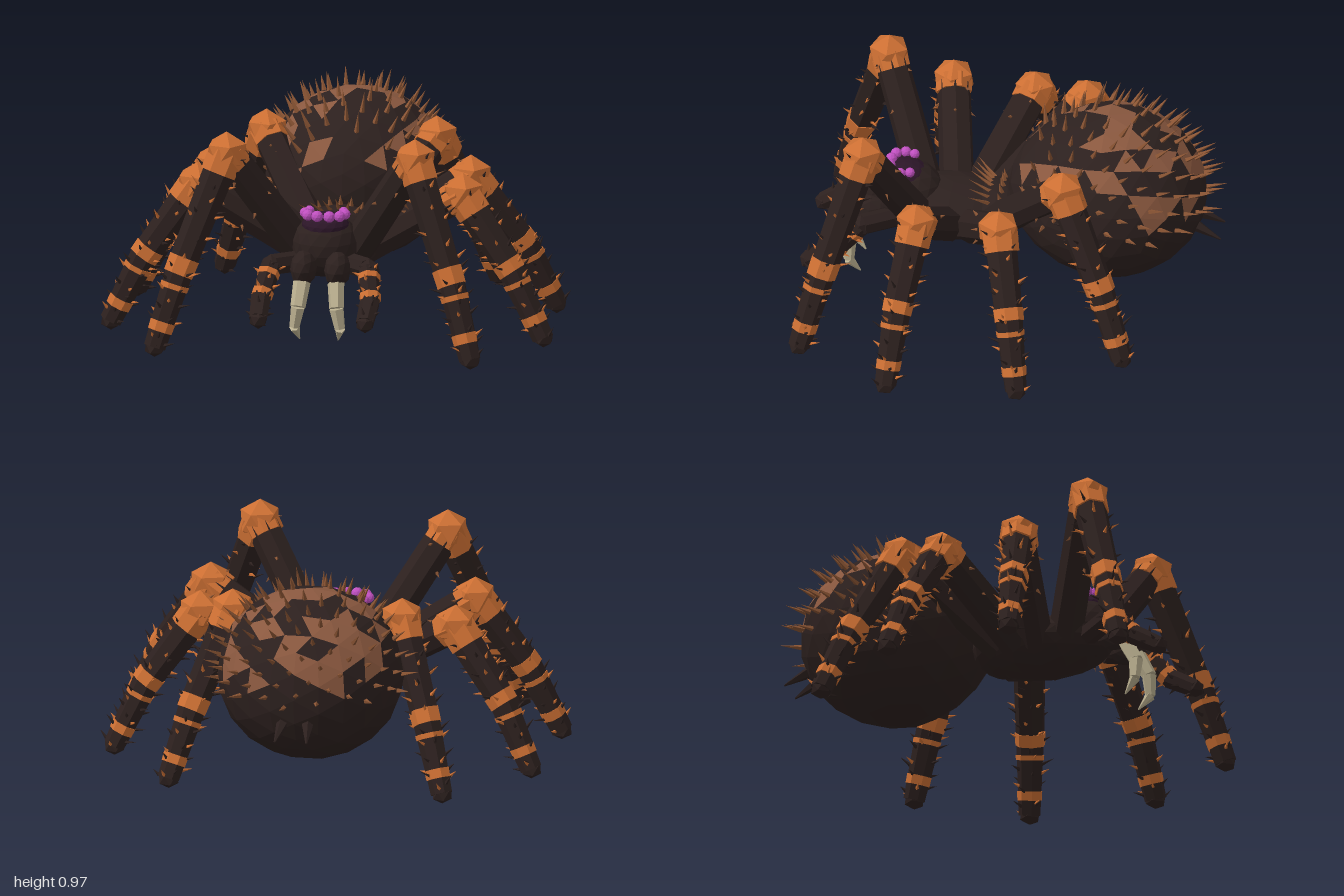
import * as THREE from 'three';
import { mergeGeometries } from 'three/addons/utils/BufferGeometryUtils.js';

const V = (x, y, z) => new THREE.Vector3(x, y, z);
const UP = V(0, 1, 0);

export function createModel() {
  const root = new THREE.Group();
  root.name = 'spider';
  const mat = (name, color) => new THREE.MeshStandardMaterial({ name, color, flatShading: true });
  const dark = mat('darkShell', 0x2c201e);
  const orange = mat('orangeJoint', 0xcc6f33);
  const brown = mat('brownPatch', 0x8a583f);
  const bristleMat = mat('bristleBrown', 0x8a5433);
  const purple = mat('purpleEye', 0xc050c0);
  const plum = mat('plumBrow', 0x2c1628);
  const ivory = mat('ivoryFang', 0xbbb090);

  let seed = 7;
  const rnd = () => (seed = (seed * 16807) % 2147483647) / 2147483647;

  const add = (parent, name, geo, material) => {
    const mesh = new THREE.Mesh(geo, material);
    mesh.name = name;
    parent.add(mesh);
    return mesh;
  };
  // tapered prism from a to b
  const limb = (parent, name, a, b, ra, rb, material, sides = 7) => {
    const d = b.clone().sub(a);
    const mesh = add(parent, name, new THREE.CylinderGeometry(rb, ra, d.length(), sides), material);
    mesh.position.copy(a).addScaledVector(d, 0.5);
    mesh.quaternion.setFromUnitVectors(UP, d.normalize());
  };
  const blob = (parent, name, c, r, detail, material) => {
    const geo = new THREE.IcosahedronGeometry(1, detail);
    geo.rotateZ(-0.553).scale(r.x, r.y, r.z); // a vertex points up
    add(parent, name, geo, material).position.copy(c);
  };
  // one bristle cone, base slightly sunk
  const bristle = (p, dir, len, r) => {
    const geo = new THREE.ConeGeometry(r, len, 4);
    geo.translate(0, len * 0.42, 0);
    geo.applyQuaternion(new THREE.Quaternion().setFromUnitVectors(UP, dir.clone().normalize()));
    return geo.translate(p.x, p.y, p.z);
  };

  // abdomen: faceted ball, narrower to the front, with mottled brown faces on top
  const ball = new THREE.IcosahedronGeometry(1, 3);
  const bp = ball.attributes.position;
  const centre = V(0, 0.53, -0.41), size = V(0.41, 0.38, 0.435);
  const shape = (p) => {
    const k = 1 - 0.1 * Math.max(0, p.z);
    return V(p.x * size.x * k, p.y * size.y * k, p.z * size.z).add(centre);
  };
  const faces = { shell: [], patch: [] };
  for (let i = 0; i < bp.count; i += 3) {
    const pts = [0, 1, 2].map((k) => V().fromBufferAttribute(bp, i + k));
    const c = pts[0].clone().add(pts[1]).add(pts[2]).divideScalar(3);
    const spotted = c.y > 0.1 && c.z < 0.8 && Math.abs(c.x) < 0.85 && rnd() < 0.46;
    for (const p of pts) faces[spotted ? 'patch' : 'shell'].push(...shape(p).toArray());
  }
  const abdomen = new THREE.Group();
  abdomen.name = 'abdomen';
  root.add(abdomen);
  for (const [key, m] of [['shell', dark], ['patch', brown]]) {
    const geo = new THREE.BufferGeometry();
    geo.setAttribute('position', new THREE.Float32BufferAttribute(faces[key], 3));
    geo.computeVertexNormals();
    add(abdomen, key === 'shell' ? 'abdomenShell' : 'abdomenPatches', geo, m);
  }
  // swept-back bristles, spread on a spiral
  const hairs = [];
  for (let i = 0; i < 150; i++) {
    const y = 0.98 - 1.1 * (i / 150), a = i * 2.39996, s = Math.sqrt(1 - y * y);
    const n = V(Math.cos(a) * s, y, Math.sin(a) * s);
    if (n.z > 0.7) continue;
    const dir = n.clone().add(V(0, 0.3, -0.5));
    hairs.push(bristle(shape(n), dir, 0.07 + 0.035 * rnd(), 0.012));
  }
  add(abdomen, 'abdomenBristles', mergeGeometries(hairs), bristleMat);

  // front body and head
  blob(root, 'thorax', V(0, 0.385, 0.27), V(0.21, 0.122, 0.31), 2, dark);
  blob(root, 'waist', V(0, 0.4, 0.07), V(0.18, 0.11, 0.13), 2, dark);
  blob(root, 'head', V(0, 0.44, 0.46), V(0.15, 0.14, 0.15), 2, dark);
  blob(root, 'brow', V(0, 0.53, 0.48), V(0.105, 0.06, 0.1), 2, plum);
  const neck = [];
  for (let i = -3; i <= 3; i++) {
    neck.push(bristle(V(i * 0.035, 0.5 - Math.abs(i) * 0.008, 0.1), V(i * 0.15, 0.45, 0.6), 0.13, 0.012));
    neck.push(bristle(V(i * 0.045, 0.5 - i * i * 0.006, 0.05), V(i * 0.1, 1, 0.2), 0.06, 0.015));
  }
  add(root, 'neckBristles', mergeGeometries(neck), bristleMat);

  // bristles around a limb from a to b
  const limbHairs = (parent, name, a, b, ra, rb, count, len, material) => {
    const axis = b.clone().sub(a).normalize();
    const u = V(0, 0, 1).cross(axis).normalize(), w = axis.clone().cross(u);
    const list = [];
    for (let i = 0; i < count; i++) {
      const t = (i + rnd()) / count, ang = i * 2.4 + rnd();
      const n = u.clone().multiplyScalar(Math.cos(ang)).addScaledVector(w, Math.sin(ang));
      const p = a.clone().lerp(b, t).addScaledVector(n, (ra + (rb - ra) * t) * 0.93);
      list.push(bristle(p, n.addScaledVector(axis, -0.5), len * (0.7 + 0.6 * rnd()), 0.009));
    }
    add(parent, name, mergeGeometries(list), material);
  };
  // orange ring round a limb at fraction t0..t1
  const band = (parent, a, b, t0, t1, r) =>
    limb(parent, 'band', a.clone().lerp(b, t0), a.clone().lerp(b, t1), r, r * 0.97, orange);

  // legs: hip, knee, ankle, foot
  const legs = [
    ['frontLeg', [0.11, 0.38, 0.4], [0.415, 0.875, 0.61], [0.6, 0.37, 0.765], [0.695, 0.05, 0.85]],
    ['secondLeg', [0.13, 0.37, 0.27], [0.585, 0.66, 0.35], [0.81, 0.34, 0.405], [0.952, 0.05, 0.435]],
    ['thirdLeg', [0.13, 0.37, 0.18], [0.565, 0.645, -0.01], [0.79, 0.33, -0.085], [0.922, 0.05, -0.135]],
    ['backLeg', [0.1, 0.37, 0.1], [0.375, 0.745, -0.265], [0.52, 0.34, -0.45], [0.605, 0.05, -0.555]],
  ];
  for (const side of [1, -1]) {
    const m = ([x, y, z]) => V(x * side, y, z);
    for (const [name, ...pts] of legs) {
      const [hip, knee, ankle, foot] = pts.map(m);
      const g = new THREE.Group();
      g.name = (side > 0 ? 'left ' : 'right ') + name;
      root.add(g);
      limb(g, 'thigh', hip, knee, 0.078, 0.074, dark);
      limb(g, 'shin', knee, ankle, 0.073, 0.063, dark);
      limb(g, 'lowerLeg', ankle, foot, 0.062, 0.049, dark);
      blob(g, 'foot', foot, V(0.048, 0.044, 0.048), 0, dark);
      blob(g, 'knee', knee, V(0.097, 0.095, 0.097), 0, orange);
      band(g, knee, ankle, 0, 0.1 / knee.distanceTo(ankle), 0.082);
      band(g, knee, hip, 0, 0.07 / knee.distanceTo(hip), 0.082);
      band(g, knee, ankle, 0.88, 1.02, 0.069);
      band(g, ankle, foot, 0.16, 0.23, 0.065);
      band(g, ankle, foot, 0.66, 0.79, 0.057);
      limbHairs(g, 'shinBristles', knee, ankle, 0.073, 0.063, 12, 0.05, dark);
      limbHairs(g, 'lowerBristles', ankle, foot, 0.062, 0.049, 14, 0.05, dark);
      limbHairs(g, 'thighBristles', hip.clone().lerp(knee, 0.5), knee, 0.075, 0.074, 6, 0.03, bristleMat);
      limbHairs(g, 'shinFlecks', knee.clone().lerp(ankle, 0.2), ankle, 0.072, 0.063, 14, 0.045, orange);
      limbHairs(g, 'lowerFlecks', ankle, foot, 0.062, 0.049, 8, 0.04, orange);
    }

    // feelers beside the mouth
    const palp = new THREE.Group();
    palp.name = 'feeler';
    root.add(palp);
    const [p0, p1, p2, p3] = [[0.1, 0.37, 0.5], [0.215, 0.385, 0.645], [0.24, 0.27, 0.755], [0.235, 0.2, 0.875]].map(m);
    limb(palp, 'feelerBase', p0, p1, 0.047, 0.047, dark);
    limb(palp, 'feelerMiddle', p1, p2, 0.047, 0.044, dark);
    limb(palp, 'feelerEnd', p2, p3, 0.045, 0.04, dark);
    blob(palp, 'feelerElbow', p1, V(0.05, 0.048, 0.05), 0, dark);
    blob(palp, 'feelerTip', p3, V(0.042, 0.042, 0.04), 0, dark);
    band(palp, p1, p2, 0.2, 0.36, 0.051);
    band(palp, p1, p2, 0.8, 1, 0.049);
    limbHairs(palp, 'feelerBristles', p1, p2, 0.047, 0.044, 8, 0.035, orange);
    limbHairs(palp, 'feelerEndBristles', p2, p3, 0.045, 0.04, 8, 0.03, dark);

    // eyes, four to a side in a horseshoe
    for (const [x, z, r] of [[0.026, 0.545, 0.026], [0.07, 0.53, 0.025], [0.088, 0.49, 0.024], [0.075, 0.45, 0.022]])
      blob(root, 'eye', m([x, 0.585, z]), V(r, r, r), 1, purple);

    // spinnerets at the rear
    limb(abdomen, 'spinneret', m([0.05, 0.43, -0.77]), m([0.07, 0.36, -0.915]), 0.035, 0.004, dark, 5);

    // jaw and curved fang
    blob(root, 'jaw', m([0.075, 0.37, 0.62]), V(0.058, 0.08, 0.09), 1, dark);
    const f = [[0.075, 0.32, 0.665], [0.085, 0.22, 0.715], [0.1, 0.13, 0.715], [0.085, 0.065, 0.665]].map(m);
    limb(root, 'fangBase', f[0], f[1], 0.038, 0.033, ivory, 6);
    limb(root, 'fangMiddle', f[1], f[2], 0.033, 0.024, ivory, 6);
    limb(root, 'fangTip', f[2], f[3], 0.024, 0.003, ivory, 6);
  }
  return root;
}
